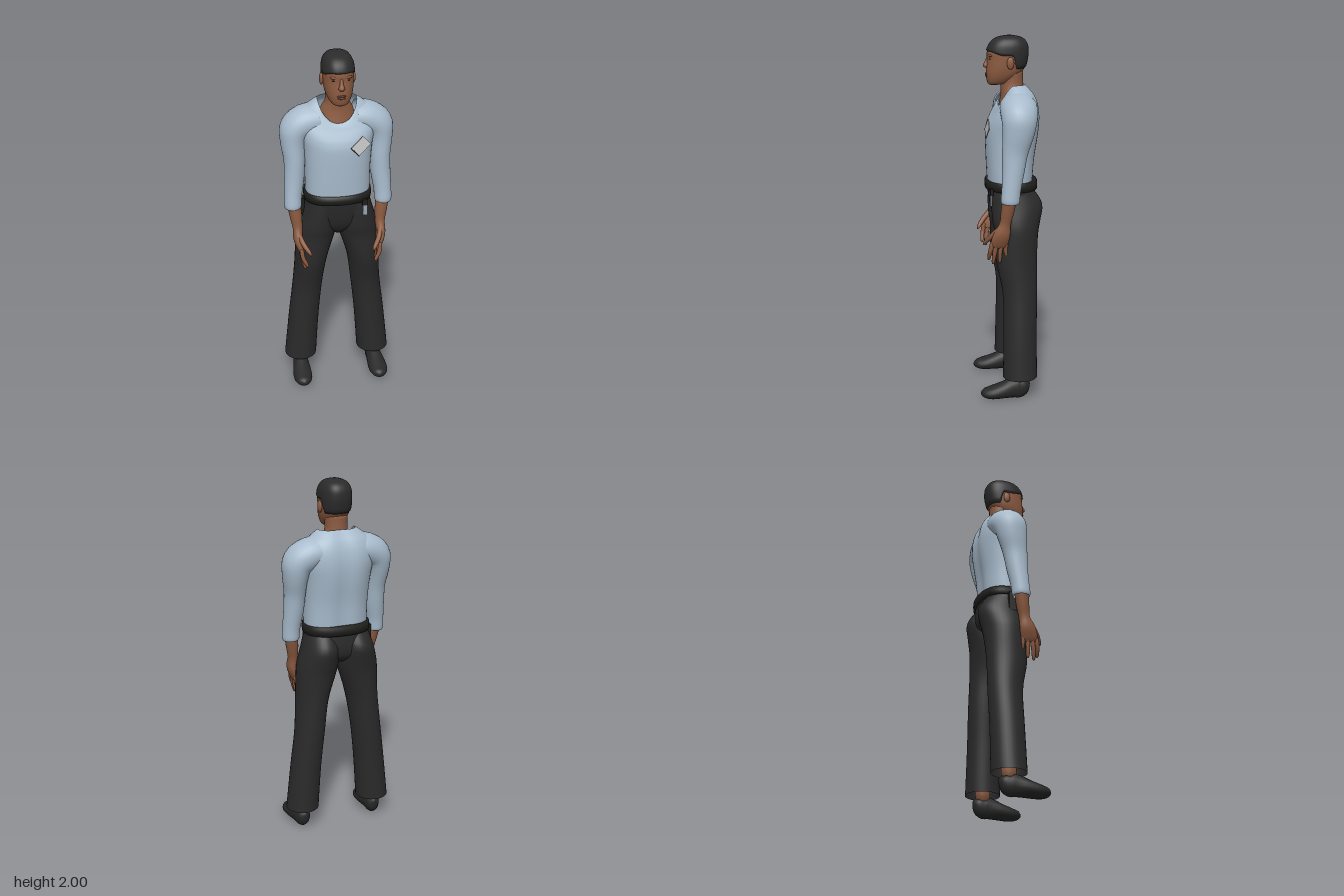
import * as THREE from 'three';

const V = (x, y, z) => new THREE.Vector3(x, y, z);
const Y = V(0, 1, 0), Z = V(0, 0, 1), DOWN = V(0, -1, 0);
const mat = (name, color, side = THREE.FrontSide) => {
  const m = new THREE.MeshStandardMaterial({ color, side });
  m.name = name;
  return m;
};

// Catmull-Rom interpolation of rows of numbers, n steps per span
function smooth(rows, n = 4) {
  const out = [], at = i => rows[Math.min(Math.max(i, 0), rows.length - 1)];
  for (let i = 0; i < rows.length - 1; i++) {
    for (let k = 0; k < n; k++) {
      const t = k / n;
      out.push(rows[i].map((b, c) => {
        const a = at(i - 1)[c], d = at(i + 1)[c], e = at(i + 2)[c];
        return b + 0.5 * t * (d - a + t * (2 * a - 5 * b + 4 * d - e + t * (3 * (b - d) + e - a)));
      }));
    }
  }
  out.push(rows[rows.length - 1]);
  return out;
}

// skin a list of closed rings, with optional end caps
function loft(rings, cap = false) {
  const n = rings[0].length, pos = [], idx = [];
  rings.forEach(r => r.forEach(p => pos.push(p.x, p.y, p.z)));
  for (let i = 0; i < rings.length - 1; i++) {
    for (let j = 0; j < n; j++) {
      const a = i * n + j, b = i * n + (j + 1) % n;
      idx.push(a, b, a + n, b, b + n, a + n);
    }
  }
  if (cap) {
    [0, rings.length - 1].forEach((ri, e) => {
      const c = rings[ri].reduce((s, p) => s.add(p), V(0, 0, 0)).divideScalar(n), k = pos.length / 3;
      pos.push(c.x, c.y, c.z);
      for (let j = 0; j < n; j++) {
        const a = ri * n + j, b = ri * n + (j + 1) % n;
        if (e) idx.push(k, a, b); else idx.push(k, b, a);
      }
    });
  }
  const g = new THREE.BufferGeometry();
  g.setAttribute('position', new THREE.Float32BufferAttribute(pos, 3));
  g.setIndex(idx);
  g.computeVertexNormals();
  return g;
}

// tube along rows [x, y, z, radius across, radius deep]
function limb(rows, { s = 1, ref = Z, dir = null, n = 20, steps = 4, cap = true } = {}) {
  const pts = smooth(rows.map(r => [r[0] * s, ...r.slice(1)]), steps);
  return loft(pts.map((r, i) => {
    const a = pts[Math.max(i - 1, 0)], b = pts[Math.min(i + 1, pts.length - 1)];
    const t = dir || V(b[0] - a[0], b[1] - a[1], b[2] - a[2]).normalize();
    const u = ref.clone().cross(t).normalize(), v = t.clone().cross(u);
    return Array.from({ length: n }, (_, j) => {
      const q = j / n * Math.PI * 2;
      return V(r[0], r[1], r[2]).addScaledVector(u, r[3] * Math.cos(q)).addScaledVector(v, r[4] * Math.sin(q));
    });
  }), cap);
}

// point on a level section [y, half width, front z, back z, front dip]; angle 0 faces front
function sectionPoint([y, hx, zf, zb, dip = 0], q, power = 0.85, groove = 0) {
  const c = Math.cos(q), s = Math.sin(q), mid = (zf + zb) / 2;
  const x = hx * Math.sign(s) * Math.abs(s) ** power;
  const z = mid + (zf - mid) * Math.sign(c) * Math.abs(c) ** power;
  return V(x, y - dip * Math.max(0, c) ** 1.4, z + (c < 0 ? groove * Math.exp(-((x / 0.045) ** 2)) : 0));
}
const body = (rows, { steps = 4, n = 48, power, groove, cap = false } = {}) =>
  loft(smooth(rows, steps).map(r => Array.from({ length: n }, (_, j) =>
    sectionPoint(r, j / n * Math.PI * 2, power, groove))), cap);

const HEAD = [
  [1.735, 0.025, 0.104, 0.05], [1.746, 0.048, 0.114, 0.0], [1.78, 0.067, 0.121, -0.05],
  [1.82, 0.077, 0.121, -0.085], [1.87, 0.081, 0.116, -0.1], [1.91, 0.081, 0.116, -0.104],
  [1.95, 0.074, 0.1, -0.098], [1.98, 0.052, 0.066, -0.072], [1.994, 0.012, 0.012, -0.02],
];

// close-cropped hair: a shell over the skull that starts at a varying hairline
function hairGeometry() {
  const skull = smooth(HEAD, 8), n = 64, rings = [];
  const sectionAt = y => {
    const i = Math.max(1, skull.findIndex(r => r[0] >= y)), a = skull[i - 1], b = skull[i];
    return a.map((v, c) => v + (b[c] - v) * (y - a[0]) / (b[0] - a[0]));
  };
  for (let k = 0; k <= 20; k++) {
    rings.push(Array.from({ length: n }, (_, j) => {
      const q = j / n * Math.PI * 2, side = Math.abs(Math.PI - q), a = Math.PI - side;
      const line = 1.915 - 0.022 * THREE.MathUtils.smoothstep(a, 0.5, 1.5) - 0.07 * THREE.MathUtils.smoothstep(a, 1.72, 2.05);
      const f = Math.sin(k / 20 * Math.PI / 2), r = sectionAt(line + (1.9935 - line) * f);
      const o = k === 0 ? 0 : 0.006;
      return sectionPoint([r[0] + o * f, r[1] + o, r[2] + o, r[3] - o], q);
    }));
  }
  return loft(rings, true);
}

export function createModel() {
  const model = new THREE.Group();
  const skin = mat('skin', 0x8b5a40), lip = mat('lips', 0x70432f), dark = mat('eye dark', 0x2a1c16);
  const hair = mat('hair', 0x2b2b2b), shirt = mat('shirt blue', 0xa9bccd, THREE.DoubleSide);
  const cloth = mat('trouser black', 0x2a2a2a, THREE.DoubleSide), leather = mat('shoe black', 0x282828);
  const beltMat = mat('belt black', 0x1f201c, THREE.DoubleSide), card = mat('card white', 0xc9c9c9), tagMat = mat('tag grey', 0x9aa5b5);
  const add = (name, geo, m, x = 0, y = 0, z = 0, parent = model) => {
    const mesh = new THREE.Mesh(geo, m);
    mesh.name = name;
    mesh.position.set(x, y, z);
    parent.add(mesh);
    return mesh;
  };
  const ball = (name, m, x, y, z, rx, ry, rz) =>
    add(name, new THREE.SphereGeometry(1, 16, 12), m, x, y, z).scale.set(rx, ry, rz);

  // head and neck
  add('head', body(HEAD, { cap: true }), skin);
  add('hair', hairGeometry(), hair);
  add('neck', limb([[0, 1.81, -0.02, 0.062, 0.06], [0, 1.73, -0.02, 0.063, 0.062], [0, 1.68, -0.028, 0.088, 0.07],
    [0, 1.6, -0.03, 0.11, 0.088]], { dir: DOWN, n: 32 }), skin);
  add('nose', limb([[0, 1.89, 0.108, 0.008, 0.008], [0, 1.86, 0.118, 0.01, 0.011], [0, 1.838, 0.122, 0.017, 0.017],
    [0, 1.826, 0.118, 0.012, 0.01]], { dir: DOWN, n: 16 }), skin);
  ball('upperLip', lip, 0, 1.795, 0.117, 0.026, 0.006, 0.01);
  ball('lowerLip', lip, 0, 1.784, 0.116, 0.022, 0.007, 0.011);

  // torso of the shirt with a scooped neckline
  add('shirtTorso', body([
    [1.17, 0.175, 0.115, -0.128, 0], [1.22, 0.178, 0.118, -0.132, 0], [1.34, 0.18, 0.124, -0.142, 0],
    [1.47, 0.19, 0.127, -0.162, 0], [1.56, 0.205, 0.118, -0.168, 0.04], [1.63, 0.205, 0.104, -0.16, 0.08],
    [1.68, 0.18, 0.086, -0.142, 0.1], [1.71, 0.148, 0.073, -0.12, 0.107], [1.735, 0.112, 0.062, -0.098, 0.118],
    [1.737, 0.105, 0.056, -0.092, 0.118],
  ], { groove: 0.014 }), shirt);

  // hips and belt
  add('hips', body([[1.0, 0.05, 0.04, -0.1, 0.05], [1.04, 0.15, 0.085, -0.14, 0.03], [1.1, 0.185, 0.108, -0.15, 0],
    [1.19, 0.178, 0.118, -0.14, 0]], { cap: true }), cloth);
  add('belt', body([[1.163, 0.168, 0.11, -0.13], [1.166, 0.186, 0.129, -0.156], [1.19, 0.188, 0.131, -0.158],
    [1.213, 0.186, 0.129, -0.156], [1.216, 0.168, 0.11, -0.125]], { steps: 1 }), beltMat);

  for (const s of [1, -1]) {
    const side = s > 0 ? 'left' : 'right';
    const part = (name, geo, m) => add(side + name, geo, m);

    // face pairs
    ball(side + 'Eye', dark, s * 0.033, 1.876, 0.104, 0.014, 0.005, 0.006);
    ball(side + 'Brow', skin, s * 0.035, 1.893, 0.101, 0.024, 0.008, 0.012);
    ball(side + 'Ear', skin, s * 0.086, 1.855, -0.002, 0.011, 0.033, 0.02);

    // sleeve
    part('Sleeve', limb([[0.1, 1.625, -0.04, 0.08, 0.1], [0.165, 1.612, -0.038, 0.088, 0.102], [0.222, 1.572, -0.033, 0.087, 0.096],
      [0.238, 1.5, -0.025, 0.07, 0.085], [0.236, 1.4, -0.008, 0.058, 0.07], [0.24, 1.3, 0.002, 0.055, 0.06],
      [0.25, 1.2, 0.014, 0.049, 0.052], [0.253, 1.14, 0.02, 0.048, 0.051], [0.253, 1.125, 0.021, 0.042, 0.045]], { s, n: 28, cap: false }), shirt);

    // forearm, palm and fingers
    part('Forearm', limb([[0.252, 1.17, 0.02, 0.037, 0.04], [0.24, 1.08, 0.033, 0.034, 0.036], [0.233, 1.01, 0.045, 0.027, 0.031],
      [0.235, 0.95, 0.062, 0.025, 0.045], [0.224, 0.9, 0.076, 0.019, 0.047], [0.217, 0.875, 0.08, 0.012, 0.038]], { s }), skin);
    [[0.118, 0.192, 0.8, 0.13], [0.094, 0.2, 0.778, 0.107], [0.069, 0.204, 0.785, 0.072], [0.046, 0.21, 0.815, 0.034]]
      .forEach(([z0, x, y, z], i) => part('Finger' + (i + 1), limb([[0.222, 0.905, z0 - 0.005, 0.012, 0.013],
        [0.216, (0.9 + y) / 2 + 0.005, (z0 + z) / 2, 0.012, 0.012], [x + 0.003, y + 0.012, z, 0.009, 0.009], [x, y, z, 0.003, 0.003]], { s, n: 10 }), skin));
    part('Thumb', limb([[0.232, 0.985, 0.07, 0.014, 0.016], [0.212, 0.94, 0.115, 0.014, 0.015],
      [0.184, 0.9, 0.147, 0.011, 0.011], [0.174, 0.882, 0.156, 0.003, 0.003]], { s, n: 10 }), skin);

    // trouser leg, open at the hem
    part('TrouserLeg', limb([[0.09, 1.18, -0.01, 0.084, 0.11], [0.1, 1.09, -0.035, 0.1, 0.14], [0.113, 1.0, -0.031, 0.113, 0.132],
      [0.125, 0.93, -0.03, 0.111, 0.12], [0.15, 0.78, -0.028, 0.091, 0.113], [0.17, 0.6, -0.044, 0.085, 0.096],
      [0.195, 0.38, -0.042, 0.087, 0.093], [0.217, 0.125, -0.04, 0.092, 0.095]], { s, dir: DOWN, n: 32, cap: false }), cloth);

    // ankle and shoe
    part('Ankle', limb([[0.21, 0.3, -0.042, 0.045, 0.05], [0.215, 0.09, -0.04, 0.034, 0.038]], { s, dir: DOWN }), skin);
    part('Shoe', limb([[0.215, 0.1, -0.086, 0.008, 0.012], [0.217, 0.085, -0.07, 0.034, 0.035], [0.22, 0.064, -0.04, 0.042, 0.06],
      [0.222, 0.061, 0, 0.045, 0.058], [0.225, 0.049, 0.06, 0.053, 0.046], [0.227, 0.039, 0.12, 0.053, 0.036],
      [0.224, 0.038, 0.162, 0.036, 0.025], [0.222, 0.04, 0.18, 0.006, 0.008]], { s, ref: Y }), leather);
  }

  // chest card, belt tag and belt pouch
  const badge = new THREE.Group();
  badge.name = 'chestCard';
  badge.position.set(0.104, 1.51, 0.126);
  badge.rotation.set(-0.08, 0.1, 0.76);
  add('cardFace', new THREE.BoxGeometry(0.09, 0.064, 0.005), card, 0, 0, 0, badge);
  add('cardEdge', new THREE.BoxGeometry(0.006, 0.064, 0.006), beltMat, -0.046, 0, 0, badge);
  model.add(badge);
  add('beltTag', new THREE.BoxGeometry(0.024, 0.06, 0.008), tagMat, 0.133, 1.118, 0.112);
  add('tagClip', new THREE.BoxGeometry(0.03, 0.035, 0.016), beltMat, 0.133, 1.165, 0.108);
  add('beltPouch', new THREE.BoxGeometry(0.022, 0.11, 0.045), beltMat, -0.198, 1.115, -0.01);
  return model;
}
